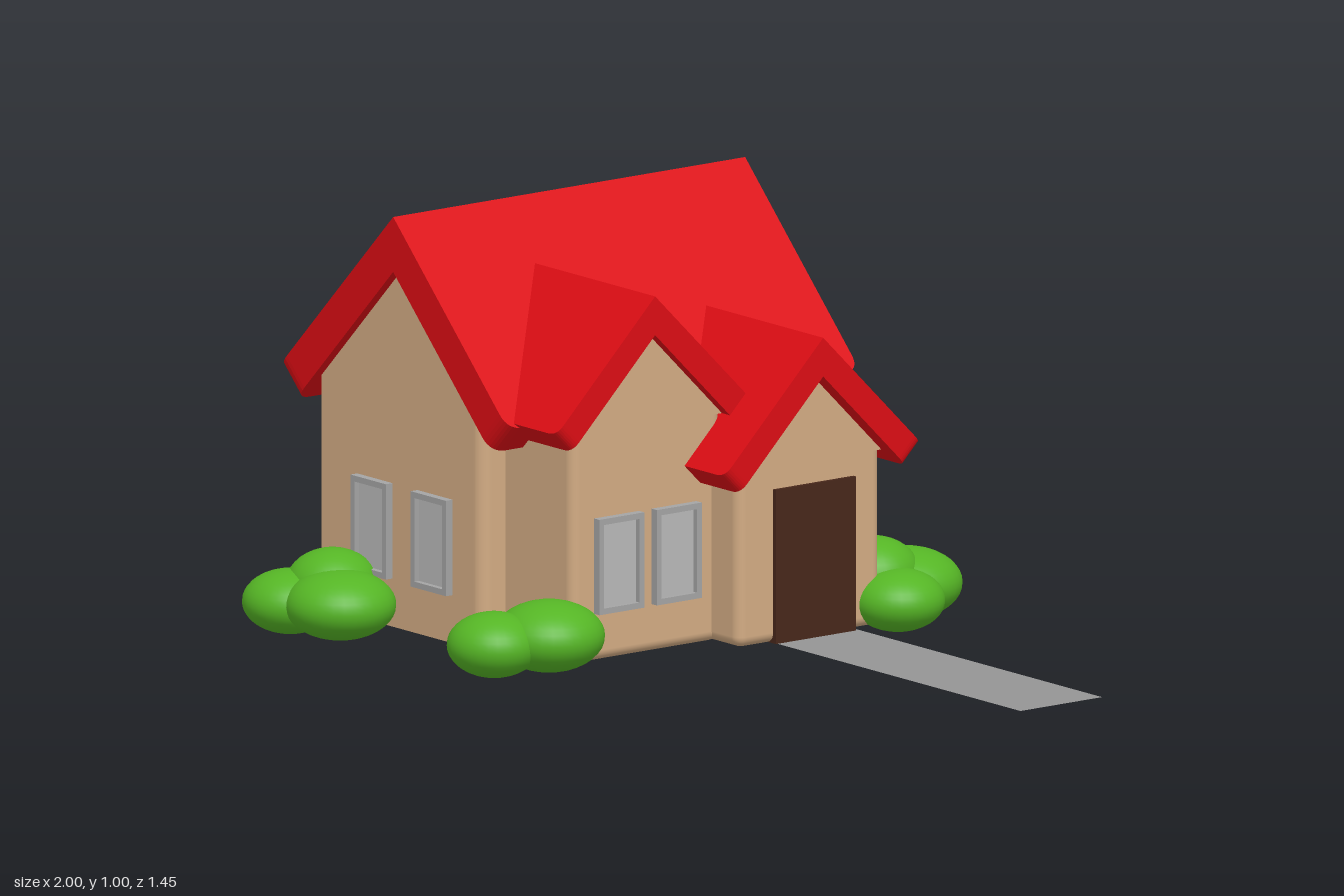
import * as THREE from 'three';
import { RoundedBoxGeometry } from 'three/addons/geometries/RoundedBoxGeometry.js';

const mat = (color, side = THREE.FrontSide) => new THREE.MeshStandardMaterial({ color, side });
const C = Math.SQRT1_2;
const BASE = 0.03;

function add(parent, name, geometry, material, x = 0, y = 0, z = 0) {
  const mesh = new THREE.Mesh(geometry, material);
  mesh.name = name;
  mesh.position.set(x, y, z);
  parent.add(mesh);
  return mesh;
}

// One 45 degree roof slab falling to +x from a ridge along z, mitred at the ridge.
// The eave corners are rounded by r0 (start) and r1 (end); shear slants the start edge.
function slabGeometry(run, thick, z0, z1, r0, r1, shear) {
  const L = run / C;
  const s = new THREE.Shape();
  s.moveTo(0, z0);
  s.lineTo(L - r0, z0 + shear * (L - r0));
  if (r0) s.quadraticCurveTo(L, z0, L, z0 + r0);
  s.lineTo(L, z1 - r1);
  s.quadraticCurveTo(L, z1, L - r1, z1);
  s.lineTo(0, z1);
  const g = new THREE.ExtrudeGeometry(s, { depth: thick, bevelEnabled: false, curveSegments: 8 });
  const p = g.attributes.position;
  for (let i = 0; i < p.count; i++) {
    const w = p.getZ(i), v = p.getY(i);
    const u = p.getX(i) < 1e-6 ? w : p.getX(i);
    p.setXYZ(i, (u - w) * C, -(u + w) * C, v);
  }
  g.computeVertexNormals();
  return g;
}

// Gabled roof: one slab and its mirror image
function gableRoof(parent, name, material, o) {
  const roof = new THREE.Group();
  roof.name = name;
  const g = slabGeometry(o.run, o.thick, o.z0, o.z1, o.r0, o.r1, o.shear);
  add(roof, name + 'SlabA', g, material);
  add(roof, name + 'SlabB', g, material).scale.x = -1;
  parent.add(roof);
  return roof;
}

// Triangular prism that fills a gable, its apex at the origin, running from z0 to z1
function gableGeometry(half, z0, z1) {
  const s = new THREE.Shape();
  s.moveTo(-half, -half);
  s.lineTo(half, -half);
  s.lineTo(0, 0);
  return new THREE.ExtrudeGeometry(s, { depth: z1 - z0, bevelEnabled: false }).translate(0, 0, z0);
}

// Framed window facing +z
function makeWindow(frameMat, paneMat) {
  const w = 0.132, h = 0.226, b = 0.014;
  const s = new THREE.Shape();
  const rect = (path, x, y) => path.moveTo(-x, -y).lineTo(x, -y).lineTo(x, y).lineTo(-x, y).closePath();
  rect(s, w / 2, h / 2);
  const hole = new THREE.Path();
  rect(hole, w / 2 - b, h / 2 - b);
  s.holes.push(hole);
  const win = new THREE.Group();
  win.name = 'window';
  add(win, 'windowFrame', new THREE.ExtrudeGeometry(s, { depth: 0.03, bevelEnabled: false }), frameMat, 0, 0, -0.01);
  add(win, 'windowPane', new THREE.BoxGeometry(w - b, h - b, 0.012), paneMat);
  return win;
}

export function createModel() {
  const model = new THREE.Group();
  model.name = 'house';
  const wall = mat(0xd2ab83), red = mat(0xdc0d14), brown = mat(0x47271a);
  const green = mat(0x55b525), frame = mat(0xa4a4a4), pane = mat(0xb8b8b8);

  // Main body: plan with rounded corners on the +x side
  const X0 = -0.87, X1 = -0.27, Z0 = -0.54, Z1 = 0.45, r = 0.03;
  const plan = new THREE.Shape();
  plan.moveTo(X0, -Z1);
  plan.lineTo(X1 - r, -Z1);
  plan.absarc(X1 - r, -Z1 + r, r, -Math.PI / 2, 0);
  plan.lineTo(X1, -Z0 - r);
  plan.absarc(X1 - r, -Z0 - r, r, 0, Math.PI / 2);
  plan.lineTo(X0, -Z0);
  const body = new THREE.ExtrudeGeometry(plan, { depth: 0.56, bevelEnabled: false, curveSegments: 6 });
  add(model, 'mainWalls', body.rotateX(-Math.PI / 2), wall, 0, BASE, 0);
  add(model, 'mainGable', gableGeometry(0.3, Z0, Z1), wall, -0.57, 0.88, 0);
  gableRoof(model, 'mainRoof', red, { run: 0.43, thick: 0.092, z0: -0.56, z1: 0.475, r0: 0.045, r1: 0.045, shear: 0 })
    .position.set(-0.57, 1.01, 0);

  // Two gabled wings facing +x; the inner roof ends stay buried in the main roof
  const wings = [
    { name: 'largeWing', z: 0.16, ridge: 0.88, half: 0.22, face: -0.02, end: 0.01, start: -0.47, shear: C },
    { name: 'entranceWing', z: -0.24, ridge: 0.748, half: 0.21, face: 0.08, end: 0.13, start: -0.34, shear: 0 },
  ];
  for (const w of wings) {
    const wing = new THREE.Group();
    wing.name = w.name;
    wing.position.z = w.z;
    wing.rotation.y = Math.PI / 2;
    const apex = w.ridge - 0.092, top = apex - w.half + 0.025, inner = -0.36;
    add(wing, w.name + 'Walls', new RoundedBoxGeometry(w.half * 2, top - BASE, w.face - inner, 4, 0.025),
      wall, 0, (top + BASE) / 2, (w.face + inner) / 2);
    add(wing, w.name + 'Gable', gableGeometry(w.half, inner, w.face), wall, 0, apex, 0);
    gableRoof(wing, w.name + 'Roof', red, { run: 0.29, thick: 0.065, z0: w.start, z1: w.end, r0: 0, r1: 0.03, shear: w.shear })
      .position.y = w.ridge;
    model.add(wing);
  }

  // Windows: two on each main gable wall, two on the large wing
  const windows = [
    [-0.67, Z1, 0], [-0.445, Z1, 0],
    [-0.67, Z0, Math.PI], [-0.445, Z0, Math.PI],
    [-0.02, 0.25, Math.PI / 2], [-0.02, 0.081, Math.PI / 2],
  ];
  for (const [x, z, turn] of windows) {
    const win = makeWindow(frame, pane);
    win.position.set(x, 0.257, z);
    win.rotation.y = turn;
    model.add(win);
  }

  // Door and path
  add(model, 'door', new THREE.BoxGeometry(0.03, 0.365, 0.236), brown, 0.075, 0.2125, -0.25);
  add(model, 'path', new THREE.PlaneGeometry(0.92, 0.24).rotateX(-Math.PI / 2),
    mat(0x949494, THREE.DoubleSide), 0.54, 0.03, -0.257);

  // Bushes: flattened spheres as x, y, z, radius, half height
  const bushes = [
    [-0.79, 0.08, 0.605, 0.112, 0.075], [-0.66, 0.088, 0.56, 0.13, 0.081], [-0.74, 0.115, 0.52, 0.11, 0.087],
    [0.02, 0.122, 0.48, 0.13, 0.083], [-0.02, 0.112, 0.61, 0.11, 0.076],
    [-0.01, 0.096, -0.595, 0.13, 0.083], [0.085, 0.085, -0.495, 0.11, 0.073], [-0.02, 0.128, -0.505, 0.11, 0.087],
  ];
  const ball = new THREE.SphereGeometry(1, 32, 20);
  for (const [x, y, z, rad, h] of bushes) add(model, 'bush', ball, green, x, y, z).scale.set(rad, h, rad);

  return model;
}
